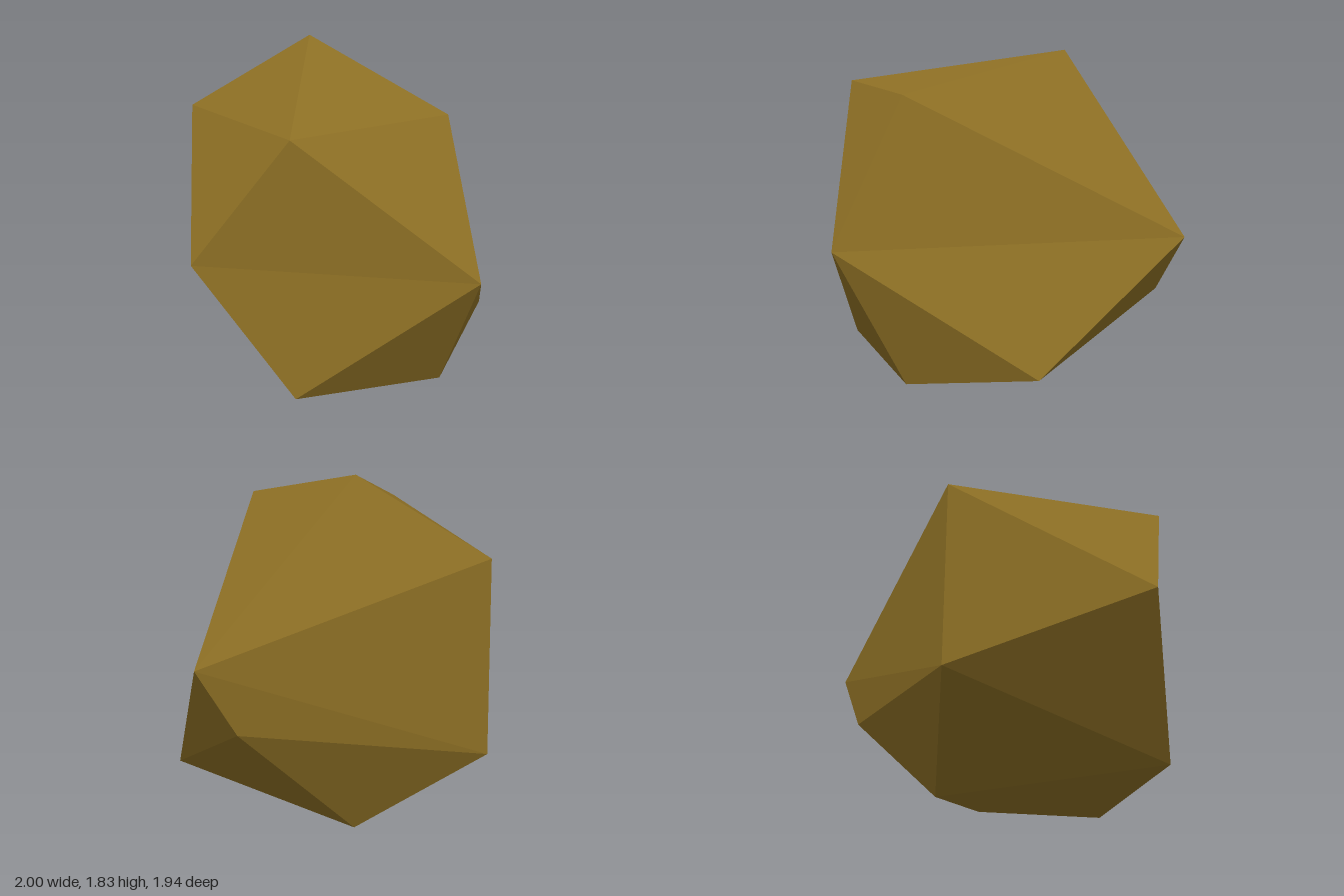
import * as THREE from 'three';

// Corners of the faceted rock: several are mirrored about the middle height.
const MID = 0.92;
const corners = {
  A: [0.11, 1.83, -0.59], B: [0.11, 0, -0.59],        // peak and foot
  E: [0.165, 1.69, 0.575], F: [0.165, 0.14, 0.575],   // front, upper and lower
  G: [-0.635, 1.66, 0.345], H: [-0.635, 0.18, 0.345], // front right, upper and lower
  K: [-0.455, 1.42, -0.97], L: [-0.455, 0.42, -0.97], // back, upper and lower
  C: [1, MID, -0.64], D: [0.085, MID, 0.97], I: [-1, MID, -0.06], // belt
  J: [0.785, 0.25, 0.185], M: [0.79, 0.585, -0.66],   // lower left side
};

const facets = [
  'AEG AGK AKC ACE',         // crown
  'ECD EDG DCJ DJF DFH',     // front
  'GDI IDH GIK KIL IHL',     // right and back right
  'LHB HFB FJB JMB MLB',     // underside
  'JCM CML CLK',             // left and back
].join(' ').split(' ');

export function createModel() {
  const ochre = new THREE.MeshStandardMaterial({ color: 0x8f7125, flatShading: true });
  ochre.name = 'ochre stone';

  const centre = new THREE.Vector3(0, MID, 0);
  const points = [];
  for (const facet of facets) {
    const [a, b, c] = [...facet].map((k) => new THREE.Vector3(...corners[k]));
    // turn every facet outwards
    const normal = new THREE.Triangle(a, b, c).getNormal(new THREE.Vector3());
    const outward = normal.dot(a.clone().sub(centre)) > 0;
    points.push(...(outward ? [a, b, c] : [a, c, b]));
  }
  const geometry = new THREE.BufferGeometry().setFromPoints(points);
  geometry.computeVertexNormals();

  const rock = new THREE.Mesh(geometry, ochre);
  rock.name = 'rock';
  const group = new THREE.Group();
  group.name = 'facetedRock';
  group.add(rock);
  return group;
}
